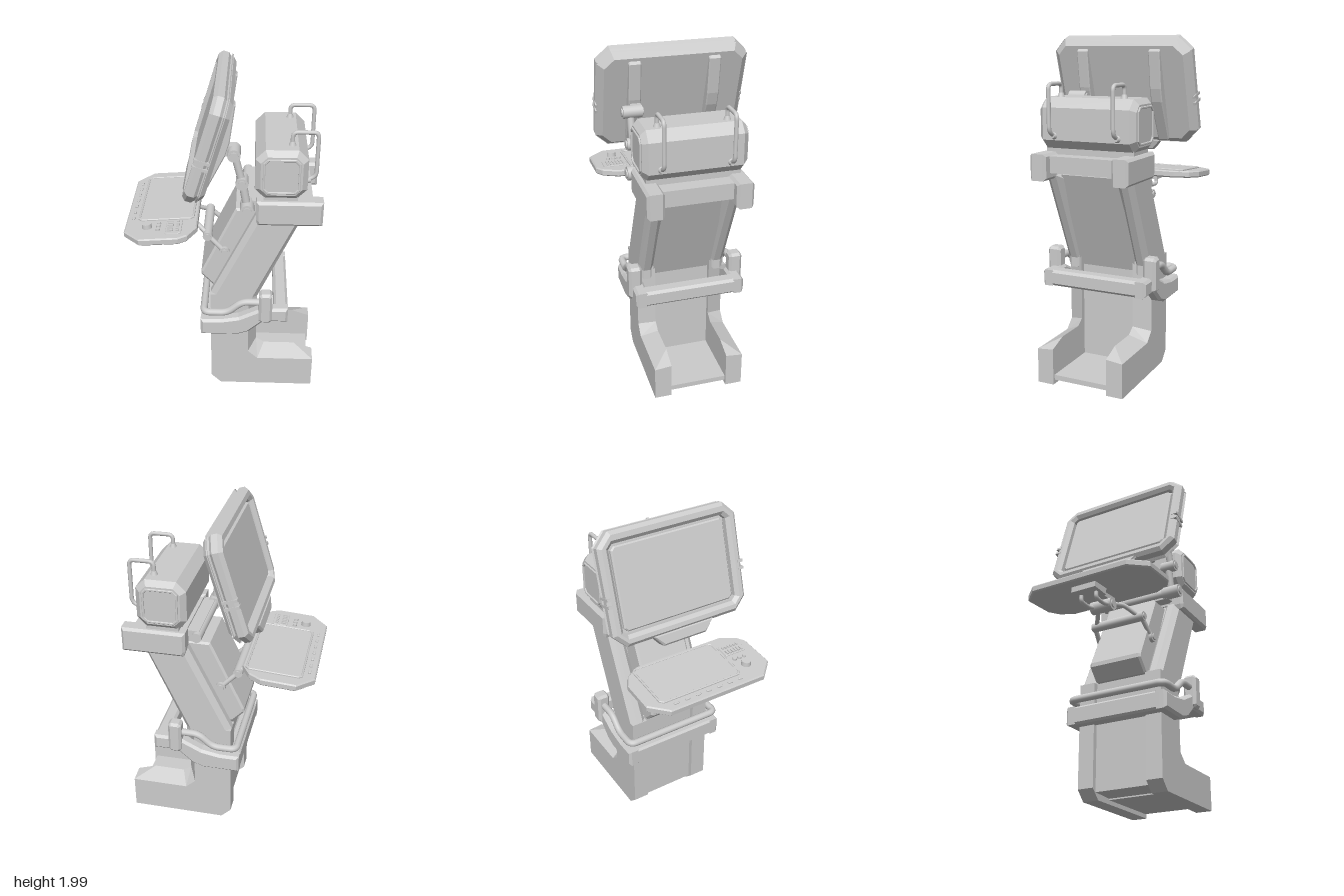
import * as THREE from 'three';

const grey = new THREE.MeshStandardMaterial({ color: 0xcccccc });
const V = (x, y, z) => new THREE.Vector3(x, y, z);

export function createModel() {
  const model = new THREE.Group();

  const add = (name, geo, parent = model) => {
    const m = new THREE.Mesh(geo, grey);
    m.name = name;
    parent.add(m);
    return m;
  };
  const toShape = (pts) => new THREE.Shape(pts.map((p) => new THREE.Vector2(p[0], p[1])));
  // side profile (x, y) extruded from z0 to z1, with chamfered edges inside the outline
  const slab = (pts, z0, z1, b = 0.01, hole = null) => {
    const s = toShape(pts);
    if (hole) s.holes.push(new THREE.Path(hole.map((p) => new THREE.Vector2(p[0], p[1]))));
    const g = new THREE.ExtrudeGeometry(s, {
      depth: z1 - z0 - 2 * b, bevelEnabled: b > 0, bevelSize: b, bevelThickness: b,
      bevelOffset: -b, bevelSegments: 1,
    });
    return g.translate(0, 0, z0 + b);
  };
  const box = (x0, x1, y0, y1, z0, z1) =>
    new THREE.BoxGeometry(x1 - x0, y1 - y0, z1 - z0).translate((x0 + x1) / 2, (y0 + y1) / 2, (z0 + z1) / 2);
  // rectangle outline with cut corners
  const cut = (x0, x1, y0, y1, c) => [[x0 + c, y0], [x1 - c, y0], [x1, y0 + c], [x1, y1 - c],
    [x1 - c, y1], [x0 + c, y1], [x0, y1 - c], [x0, y0 + c]];
  const shaft = (x, y, z0, z1, r) =>
    new THREE.CylinderGeometry(r, r, z1 - z0, 24).rotateX(Math.PI / 2).translate(x, y, (z0 + z1) / 2);
  // tube along a polyline with rounded corners
  const pipe = (pts, r, round = 0.03, segs = 90) => {
    const path = new THREE.CurvePath();
    let from = pts[0];
    for (let i = 1; i < pts.length - 1; i++) {
      const p = pts[i];
      const a = p.clone().add(pts[i - 1].clone().sub(p).setLength(round));
      const b = p.clone().add(pts[i + 1].clone().sub(p).setLength(round));
      path.add(new THREE.LineCurve3(from, a));
      path.add(new THREE.QuadraticBezierCurve3(a, p, b));
      from = b;
    }
    path.add(new THREE.LineCurve3(from, pts[pts.length - 1]));
    return new THREE.TubeGeometry(path, segs, r, 10);
  };
  // straight bar between two points
  const bar = (a, b, r) => {
    const d = b.clone().sub(a);
    const g = new THREE.CylinderGeometry(r, r, d.length(), 12);
    g.applyQuaternion(new THREE.Quaternion().setFromUnitVectors(V(0, 1, 0), d.normalize()));
    const c = a.clone().add(b).multiplyScalar(0.5);
    return g.translate(c.x, c.y, c.z);
  };

  // base: two L-shaped side walls whose top slopes outward, with a floor and core between
  const wall = [[-0.08, 0.07], [-0.02, 0.01], [0.555, 0.01], [0.555, 0.225], [0.44, 0.265],
    [0.25, 0.265], [0.2, 0.3], [0.2, 0.7], [-0.08, 0.7]];
  for (const s of [-1, 1]) {
    const g = slab(wall, 0.17, 0.27, 0);
    const p = g.attributes.position;
    for (let i = 0; i < p.count; i++) {
      if (p.getZ(i) < 0.26) continue;
      if (p.getX(i) > 0.1 && p.getY(i) > 0.2) {
        p.setX(i, p.getX(i) < 0.22 ? 0.15 : p.getX(i));
        p.setY(i, p.getY(i) < 0.28 ? 0.215 : p.getY(i) < 0.4 ? 0.27 : p.getY(i));
      }
      if (p.getX(i) > 0.23 && p.getX(i) < 0.27) p.setX(i, 0.21);
    }
    if (s < 0) g.rotateY(Math.PI).scale(-1, 1, 1);
    if (s < 0) {
      // restore the winding after mirroring
      for (let i = 0; i < p.count; i += 3) {
        const a = V().fromBufferAttribute(p, i), c = V().fromBufferAttribute(p, i + 2);
        p.setXYZ(i, c.x, c.y, c.z);
        p.setXYZ(i + 2, a.x, a.y, a.z);
      }
    }
    g.computeVertexNormals();
    add('baseSideWall', g);
  }
  add('baseCore', slab([[-0.05, 0.05], [0.17, 0.04], [0.17, 0.72], [-0.05, 0.72]], -0.18, 0.18, 0));
  add('baseFloor', box(0.1, 0.54, 0.035, 0.065, -0.18, 0.18));

  // leaning upper column: core, bevelled side rails and a raised face panel
  add('columnCore', slab([[-0.03, 0.68], [0.18, 0.64], [0.41, 1.22], [0.2, 1.24]], -0.18, 0.18, 0));
  for (const s of [-1, 1])
    add('columnRail', slab([[-0.08, 0.62], [0.2, 0.62], [0.2, 0.68], [0.44, 1.22], [0.18, 1.24], [-0.08, 0.7]],
      s > 0 ? 0.17 : -0.27, s > 0 ? 0.27 : -0.17, 0.03));
  add('facePanel', slab([[-0.14, 0.775], [-0.07, 0.7], [0.02, 0.7], [0.22, 1.235], [0.065, 1.235], [-0.14, 0.8]], -0.17, 0.17, 0.012));

  // stepped collar around the column, with side pads and a wrap-around grab rail
  const collar = [[-0.14, 0.44], [0.08, 0.44], [0.15, 0.465], [0.24, 0.545], [0.385, 0.545], [0.385, 0.64],
    [0.23, 0.64], [0.09, 0.57], [-0.02, 0.55], [-0.14, 0.55]];
  for (const s of [-1, 1]) {
    add('collarArm', slab(collar, s > 0 ? 0.255 : -0.33, s > 0 ? 0.33 : -0.255, 0.015));
    add('railPad', slab(cut(0.21, 0.29, 0.55, 0.755, 0.015), s > 0 ? 0.27 : -0.35, s > 0 ? 0.35 : -0.27, 0.015));
  }
  add('collarFrontBar', slab(cut(-0.14, -0.05, 0.44, 0.55, 0.012), -0.3, 0.3, 0.01));
  add('collarRearBar', slab(cut(0.3, 0.385, 0.545, 0.64, 0.015), -0.32, 0.32, 0.01));
  const half = [[0.23, 0.68], [0.11, 0.68], [0.02, 0.6], [-0.12, 0.6]];
  add('grabRail', pipe([...half.map((p) => V(p[0], p[1], 0.31)),
    ...half.reverse().map((p) => V(p[0], p[1], -0.31))], 0.022, 0.04, 160));

  // cradle on top of the column
  for (const s of [-1, 1])
    add('cradleArm', slab([[0.19, 1.2], [0.555, 1.2], [0.555, 1.35], [0.18, 1.35], [0.18, 1.23]],
      s > 0 ? 0.2 : -0.3, s > 0 ? 0.3 : -0.2, 0.015));
  add('cradleBeam', box(0.19, 0.5, 1.24, 1.335, -0.21, 0.21));
  add('headNeck', box(0.22, 0.41, 1.32, 1.39, -0.27, 0.27));

  // chamfered head box with recessed end windows and carry handles
  add('headBox', slab(cut(0.17, 0.46, 1.365, 1.655, 0.055), -0.295, 0.295, 0.03));
  for (const s of [-1, 1]) {
    add('endWindowFrame', slab(cut(0.212, 0.418, 1.405, 1.615, 0.025), s > 0 ? 0.285 : -0.303, s > 0 ? 0.303 : -0.285, 0.003,
      cut(0.225, 0.405, 1.418, 1.602, 0.02).reverse()));
    const z = 0.195 * s;
    add('headHandle', pipe([V(0.37, 1.645, z), V(0.37, 1.73, z), V(0.51, 1.73, z), V(0.51, 1.47, z), V(0.45, 1.44, z)], 0.012));
    add('handleFoot', new THREE.CylinderGeometry(0.013, 0.022, 0.025, 16).translate(0.37, 1.665, z));
    add('handleFoot', new THREE.CylinderGeometry(0.013, 0.022, 0.025, 16).rotateZ(-Math.PI / 2).translate(0.468, 1.444, z));
  }

  // tilted monitor, screen facing -x
  const monitor = new THREE.Group();
  monitor.name = 'monitor';
  monitor.position.set(-0.09, 1.665, 0);
  monitor.rotation.z = -0.295;
  model.add(monitor);
  const plate = (pts, x0, x1, b, hole) => slab(pts, x0, x1, b, hole).rotateY(Math.PI / 2);
  add('monitorFrame', plate(cut(-0.435, 0.435, -0.3, 0.335, 0.075), -0.055, 0.02, 0.02,
    cut(-0.37, 0.37, -0.235, 0.265, 0.025).reverse()), monitor);
  add('monitorBack', plate(cut(-0.433, 0.433, -0.298, 0.333, 0.075), -0.005, 0.057, 0.035), monitor);
  add('screen', plate(cut(-0.355, 0.355, -0.22, 0.25, 0.02), -0.034, 0, 0.008), monitor);
  add('monitorChin', plate([[-0.14, -0.362], [0.14, -0.362], [0.2, -0.29], [-0.2, -0.29]], -0.052, 0.03, 0.012), monitor);
  for (const s of [-1, 1]) {
    add('backRib', slab([[0.04, -0.27], [0.065, -0.27], [0.108, -0.02], [0.108, 0.06], [0.075, 0.27], [0.04, 0.29]],
      s > 0 ? 0.195 : -0.265, s > 0 ? 0.265 : -0.195, 0.006), monitor);
    for (const y of [-0.055, -0.015])
      add('sideBand', box(-0.058, 0.03, y - 0.008, y + 0.008, s * 0.42 - 0.018, s * 0.42 + 0.018), monitor);
  }

  // jointed monitor arm
  const joint = (name, x, y, z0, z1, r) => {
    add(name, shaft(x, y, z0, z1, r));
    add(name + 'Cap', shaft(x, y, z0 - 0.008, z1 + 0.008, r * 0.65));
  };
  joint('monitorHinge', 0.055, 1.635, 0.2, 0.31, 0.036);
  joint('armElbow', 0.1, 1.46, 0.21, 0.3, 0.035);
  joint('armShoulder', 0.13, 1.295, 0.2, 0.31, 0.04);
  add('shoulderShaft', shaft(0.13, 1.295, -0.23, 0.25, 0.03));
  add('shoulderBracket', box(0.12, 0.22, 1.255, 1.325, -0.2, 0.23));
  add('hingeBracket', box(0.0, 0.06, 1.61, 1.67, 0.2, 0.26));
  add('upperArm', bar(V(0.055, 1.635, 0.265), V(0.1, 1.46, 0.265), 0.021));
  add('lowerArm', bar(V(0.1, 1.46, 0.25), V(0.13, 1.295, 0.25), 0.023));

  // control tray, slightly tilted; local z is up while laying out the plan
  const tray = new THREE.Group();
  tray.name = 'controlTray';
  tray.position.set(-0.36, 1.16, 0);
  tray.rotation.z = 0.075;
  model.add(tray);
  const flat = (pts, y0, y1, b, hole) =>
    slab(pts.map((p) => [p[0] + 0.36, -p[1]]).reverse(), y0, y1, b,
      hole && hole.map((p) => [p[0] + 0.36, -p[1]])).rotateX(-Math.PI / 2);
  add('trayBody', flat([[-0.565, -0.3], [-0.47, -0.4], [-0.27, -0.4], [-0.2, -0.36], [-0.15, -0.28], [-0.15, 0.3],
    [-0.2, 0.39], [-0.25, 0.42], [-0.47, 0.42], [-0.565, 0.32]], -0.025, 0.016, 0.007), tray);
  add('padFrame', flat(cut(-0.495, -0.17, -0.325, 0.215, 0.02), 0.01, 0.026, 0.004, cut(-0.483, -0.182, -0.313, 0.203, 0.015)), tray);
  add('touchPad', flat(cut(-0.485, -0.18, -0.315, 0.205, 0.015), 0.008, 0.02, 0), tray);
  for (let i = 0; i < 7; i++) {
    const z = -0.245 + i * 0.071;
    add('edgeButton', flat(cut(-0.533, -0.517, z - 0.016, z + 0.016, 0.005), 0.01, 0.024, 0.002), tray);
  }
  const dial = (name, x, z, r, h) => add(name, new THREE.CylinderGeometry(r * 0.9, r, h, 24).translate(x + 0.36, 0.014 + h / 2, z), tray);
  dial('knob', -0.435, 0.285, 0.029, 0.028);
  for (const z of [0.252, 0.285, 0.32]) dial('roundButton', -0.37, z, 0.013, 0.014);
  add('keyPlate', flat(cut(-0.325, -0.235, 0.225, 0.37, 0.006), 0.01, 0.021, 0.002), tray);
  for (let i = 0; i < 6; i++)
    for (const [x, w] of [[-0.3, 0.016], [-0.258, 0.008]])
      add('key', box(x - w + 0.36, x + w + 0.36, 0.018, 0.028, 0.24 + i * 0.0195, 0.251 + i * 0.0195), tray);

  // tray support arm
  add('trayMount', box(-0.49, -0.37, 1.092, 1.135, -0.08, 0.08));
  add('trayPlate', box(-0.4, -0.22, 1.11, 1.145, -0.05, 0.05));
  joint('trayPivot', -0.275, 1.08, -0.07, 0.07, 0.038);
  joint('trayElbow', -0.1, 1.05, -0.17, 0.18, 0.028);
  joint('trayShoulder', 0, 0.95, -0.19, 0.19, 0.03);
  for (const s of [-1, 1]) {
    add('traySupport', pipe([V(-0.43, 1.11, 0.05 * s), V(-0.43, 1.055, 0.05 * s), V(-0.35, 1.055, 0.05 * s), V(-0.275, 1.08, 0.05 * s)], 0.012, 0.02));
    add('trayForearm', pipe([V(-0.275, 1.085, 0.05 * s), V(-0.18, 1.105, 0.09 * s), V(-0.1, 1.05, 0.15 * s)], 0.014, 0.03));
    add('trayLink', bar(V(-0.1, 1.05, 0.16 * s), V(0, 0.95, 0.175 * s), 0.015));
  }
  return model;
}
